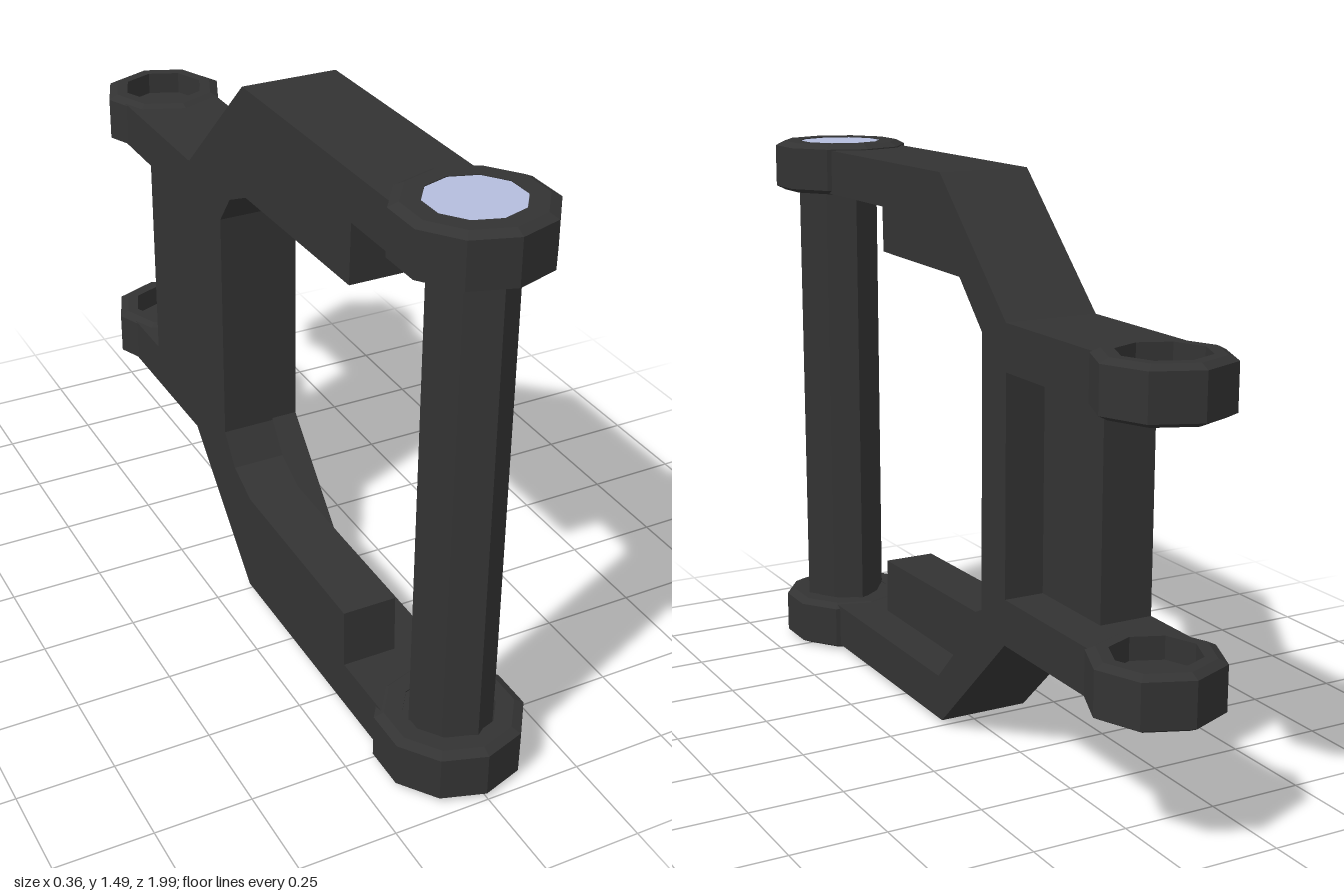
import * as THREE from 'three';

const dark = new THREE.MeshStandardMaterial({ color: 0x333333, flatShading: true });
const pale = new THREE.MeshStandardMaterial({ color: 0xb4bcdc });

const MID_Y = 0.752;
const X_BACK = -0.153, X_WEB = -0.01, X_FRAME = 0.097;
const EYE = { x: -0.015, z: -0.835, hole: 0.11 };
const HUB_Z = 0.808;

function add(parent, name, geometry, material = dark) {
  const mesh = new THREE.Mesh(geometry, material);
  mesh.name = name;
  parent.add(mesh);
  return mesh;
}

// Side profile of [z, y] points, extruded across x from x0 to x1
function sidePlate(points, x0, x1) {
  const shape = new THREE.Shape(points.map(([z, y]) => new THREE.Vector2(z, y)));
  return new THREE.ExtrudeGeometry(shape, { depth: x1 - x0, bevelEnabled: false })
    .rotateY(-Math.PI / 2)
    .translate(x1, 0, 0);
}

// Hinge arm seen from above, notched around the eye's hole
function hingeArm(height) {
  const shape = new THREE.Shape();
  shape.moveTo(X_BACK, 0.34);
  shape.lineTo(X_FRAME, 0.34);
  shape.lineTo(X_FRAME, -EYE.z);
  shape.absarc(EYE.x, -EYE.z, EYE.hole, 0, Math.PI, true);
  shape.lineTo(X_BACK, -EYE.z);
  return new THREE.ExtrudeGeometry(shape, { depth: height, bevelEnabled: false })
    .rotateX(-Math.PI / 2)
    .translate(0, -height / 2, 0);
}

// Vertical bar: eight-sided, narrower across its diagonals
function barGeometry(height) {
  const shape = new THREE.Shape(Array.from({ length: 8 }, (_, i) => {
    const r = i % 2 ? 0.1 : 0.121, a = i * Math.PI / 4;
    return new THREE.Vector2(r * Math.cos(a), r * Math.sin(a));
  }));
  return new THREE.ExtrudeGeometry(shape, { depth: height, bevelEnabled: false })
    .rotateX(-Math.PI / 2)
    .translate(0, -height / 2, 0);
}

// Mirrors the upper half of an open profile to the lower half
function mirrored(points) {
  return [...points, ...points.map(([z, y]) => [z, 2 * MID_Y - y]).reverse()];
}

// Chamfered faceted ring, standing on its own middle height
function ring(outer, inner, height, sides) {
  const h = height / 2, c = 0.012;
  const profile = [
    [inner, -h], [outer - c * 2, -h], [outer, -h + c], [outer, h - c],
    [outer - c * 2, h], [inner, h], [inner, -h],
  ].map(([r, y]) => new THREE.Vector2(r, y));
  return new THREE.LatheGeometry(profile, sides);
}

export function createModel() {
  const model = new THREE.Group();
  model.name = 'yokeBracket';

  // Outer C-shaped frame, its ends running into the hubs
  const outer = [[HUB_Z, 1.48], [0, 1.48], [-0.34, 1.155]];
  const flangeInner = [[HUB_Z, 1.36], [0.02, 1.36], [-0.22, 1.115]];
  add(model, 'frame', sidePlate(
    [...mirrored(outer), ...mirrored(flangeInner).reverse()], X_BACK, X_FRAME));

  // Recessed web lining the inside of the frame
  const webOuter = [[0.555, 1.36], [0.02, 1.36], [-0.22, 1.115]];
  const webInner = [[0.55, 1.205], [0.01, 1.195], [-0.085, 1.15], [-0.145, 1.07]];
  add(model, 'innerWeb', sidePlate(
    [...mirrored(webOuter), ...mirrored(webInner).reverse()], X_BACK, X_WEB));

  // Rear web between the two hinge arms
  add(model, 'rearWeb', sidePlate(
    [[-0.34, 0.46], [-0.34, 1.045], [-0.608, 1.045], [-0.608, 0.46]], X_BACK, X_WEB));

  for (const side of [1, -1]) {
    const label = side > 0 ? 'upper' : 'lower';

    // Rear hinge arm with its eye and recessed floor
    const armY = MID_Y + side * 0.345;
    add(model, label + 'HingeArm', hingeArm(0.12)).position.y = armY;
    add(model, label + 'HingeEye', ring(0.165, EYE.hole, 0.138, 8))
      .position.set(EYE.x, armY, EYE.z);
    add(model, label + 'HingeEyeFloor', new THREE.CylinderGeometry(EYE.hole, EYE.hole, 0.02, 8))
      .position.set(EYE.x, armY, EYE.z);

    // Front hub holding the bar, with a pale pin face
    const hubY = MID_Y + side * 0.674;
    add(model, label + 'Hub', ring(0.185, 0.115, 0.138, 10)).position.set(0, hubY, HUB_Z);
    add(model, label + 'PinFace', new THREE.CylinderGeometry(0.118, 0.118, 0.02, 10), pale)
      .position.set(0, hubY + side * 0.057, HUB_Z - 0.006);
  }

  // Vertical front bar
  add(model, 'bar', barGeometry(1.3)).position.set(0.008, MID_Y, HUB_Z);

  return model;
}
